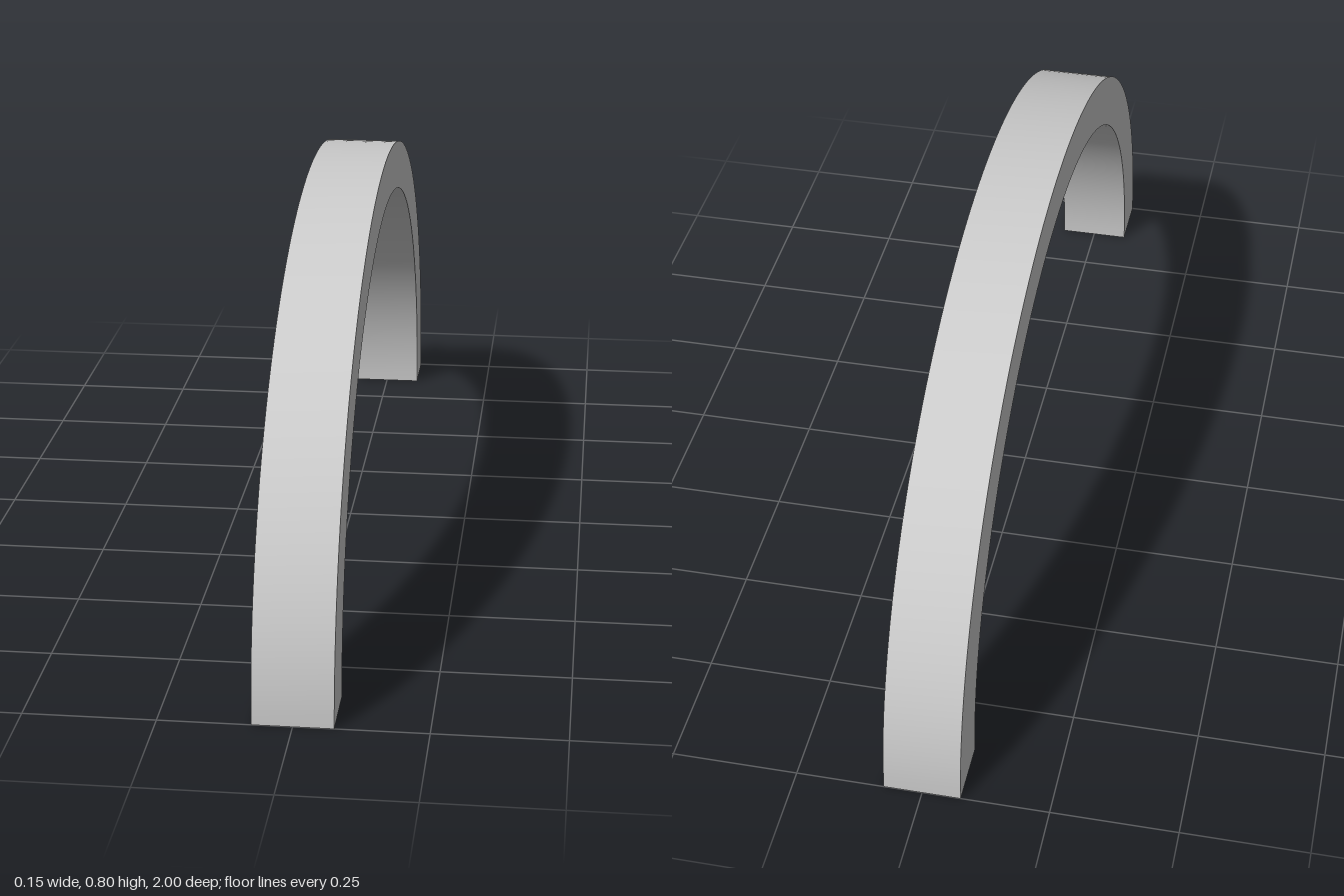
import * as THREE from 'three';
import { toCreasedNormals } from 'three/addons/utils/BufferGeometryUtils.js';

const WIDTH = 0.152;
const OUTER = { span: 1, rise: 0.803 };
const INNER = { span: 0.872, rise: 0.702 };

export function createModel() {
  const group = new THREE.Group();
  group.name = 'archModel';

  // Half-elliptical band: over the outer curve, back along the inner one
  const profile = new THREE.Shape();
  profile.moveTo(OUTER.span, 0);
  profile.absellipse(0, 0, OUTER.span, OUTER.rise, 0, Math.PI, false);
  profile.lineTo(-INNER.span, 0);
  profile.absellipse(0, 0, INNER.span, INNER.rise, Math.PI, 0, true);
  profile.closePath();

  const band = new THREE.ExtrudeGeometry(profile, {
    depth: WIDTH, bevelEnabled: false, curveSegments: 48,
  });
  // Centre the width, then turn the span to run front to back
  band.translate(0, 0, -WIDTH / 2);
  band.rotateY(Math.PI / 2);

  const arch = new THREE.Mesh(
    toCreasedNormals(band, Math.PI / 6),
    new THREE.MeshStandardMaterial({ color: 0xcccccc }),
  );
  arch.name = 'arch';
  group.add(arch);
  return group;
}
